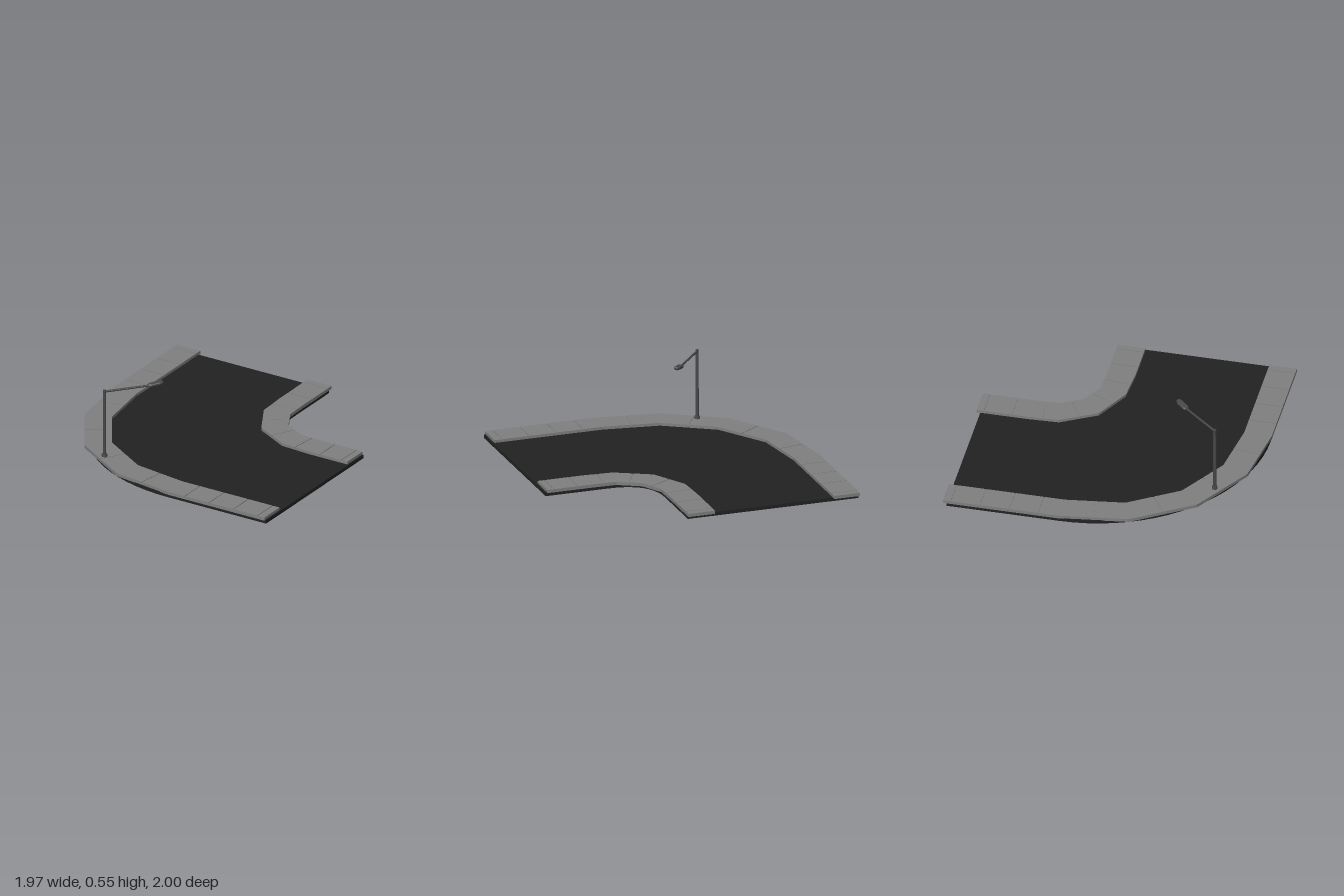
import * as THREE from 'three';

const mat = (color) => new THREE.MeshStandardMaterial({ color, flatShading: true });

// Flat slab from an [x, z] outline, between two heights
function slab(outline, y0, y1, material, name) {
  const shape = new THREE.Shape(outline.map(([x, z]) => new THREE.Vector2(x, -z)));
  const geo = new THREE.ExtrudeGeometry(shape, { depth: y1 - y0, bevelEnabled: false });
  geo.rotateX(-Math.PI / 2).translate(0, y0, 0);
  const mesh = new THREE.Mesh(geo, material);
  mesh.name = name;
  return mesh;
}

// Pavement strip between two edge lines, with tiles raised between the joints
function pavement(edgeA, edgeB, joints, material, name) {
  const group = new THREE.Group();
  group.name = name;
  const last = edgeA.length - 1;
  const at = (edge, t) => {
    const i = Math.min(Math.floor(t), last - 1), f = t - i;
    return [0, 1].map((k) => edge[i][k] * (1 - f) + edge[i + 1][k] * f);
  };
  group.add(slab([...edgeA, ...[...edgeB].reverse()], 0.022, 0.041, material, 'pavementBase'));
  const stops = [0, ...joints, last];
  const gap = (t) => {
    const i = Math.min(Math.floor(t), last - 1);
    return 0.003 / Math.hypot(edgeA[i + 1][0] - edgeA[i][0], edgeA[i + 1][1] - edgeA[i][1]);
  };
  for (let n = 0; n < stops.length - 1; n++) {
    const a = n === 0 ? 0 : stops[n] + gap(stops[n]);
    const b = n === stops.length - 2 ? last : stops[n + 1] - gap(stops[n + 1]);
    const params = [a];
    for (let i = Math.floor(a) + 1; i < b; i++) params.push(i);
    params.push(b);
    const outline = [...params.map((t) => at(edgeA, t)), ...params.reverse().map((t) => at(edgeB, t))];
    group.add(slab(outline, 0.041, 0.045, material, 'pavementTile'));
  }
  return group;
}

function streetLamp(material) {
  const lamp = new THREE.Group();
  lamp.name = 'streetLamp';
  const add = (geo, name, parent = lamp) => {
    const mesh = new THREE.Mesh(geo, material);
    mesh.name = name;
    parent.add(mesh);
    return mesh;
  };
  add(new THREE.CylinderGeometry(0.019, 0.022, 0.02, 6), 'lampBase').position.y = 0.053;
  add(new THREE.CylinderGeometry(0.011, 0.012, 0.49, 8), 'lampPole').position.y = 0.29;
  // Arm runs along +x of the lamp, which is then turned toward the road
  add(new THREE.CylinderGeometry(0.007, 0.008, 0.32, 6).rotateZ(-Math.PI / 2), 'lampArm').position.set(0.16, 0.524, 0);
  const head = new THREE.Group();
  head.name = 'lampHead';
  head.position.set(0.36, 0.531, 0);
  head.rotation.z = 0.13;
  lamp.add(head);
  const outline = new THREE.Shape([[-0.05, -0.01], [-0.035, -0.017], [0.03, -0.017], [0.048, -0.008],
    [0.048, 0.008], [0.03, 0.017], [-0.035, 0.017], [-0.05, 0.01]].map(([x, y]) => new THREE.Vector2(x, y)));
  const shell = new THREE.ExtrudeGeometry(outline, {
    depth: 0.01, bevelSize: 0.004, bevelThickness: 0.005, bevelSegments: 1,
  });
  add(shell.rotateX(-Math.PI / 2).translate(0, -0.005, 0), 'lampShell', head);
  lamp.position.set(-0.455, 0, 0.75);
  lamp.rotation.y = Math.atan2(0.32, 0.27);
  return lamp;
}

export function createModel() {
  const model = new THREE.Group();
  model.name = 'roadCorner';
  const stone = mat(0x808080), asphalt = mat(0x222222), metal = mat(0x484848);

  // Road bed with a rounded outer and inner bend
  const road = [[0.98, 0.99], [0.98, -0.23]];
  const bend = new THREE.QuadraticBezierCurve(
    new THREE.Vector2(0.54, -0.23), new THREE.Vector2(0.235, -0.23), new THREE.Vector2(0.235, -0.52));
  bend.getPoints(10).forEach((p) => road.push([p.x, p.y]));
  road.push([0.235, -0.975], [-0.982, -0.975]);
  for (let i = 0; i <= 20; i++) {
    const a = (i / 20) * Math.PI / 2;
    road.push([0.2 - 1.182 * Math.cos(a), -0.2 + 1.19 * Math.sin(a)]);
  }
  model.add(slab(road, 0, 0.025, asphalt, 'roadBed'));

  // Wide pavement around the outside of the bend
  model.add(pavement(
    [[-0.985, -1], [-0.985, -0.2], [-0.92, 0.265], [-0.66, 0.675], [-0.25, 0.93], [0.2, 0.997], [0.97, 0.997]],
    [[-0.8, -1], [-0.8, -0.2], [-0.745, 0.2], [-0.53, 0.54], [-0.19, 0.75], [0.2, 0.807], [0.97, 0.807]],
    [0.07, 0.32, 0.57, 0.82, 1.5, 2.5, 3.5, 4.5, 5.18, 5.43, 5.68, 5.93], stone, 'outerPavement'));

  // Tight pavement around the inside of the bend
  model.add(pavement(
    [[0.05, -1], [0.05, -0.65], [0.06, -0.435], [0.195, -0.19], [0.44, -0.06], [0.66, -0.045], [0.97, -0.045]],
    [[0.24, -1], [0.24, -0.65], [0.245, -0.475], [0.325, -0.325], [0.48, -0.24], [0.66, -0.235], [0.97, -0.235]],
    [0.15, 0.7, 1.5, 2.5, 3.5, 4.5, 5.3, 5.85], stone, 'innerPavement'));

  model.add(streetLamp(metal));
  return model;
}
